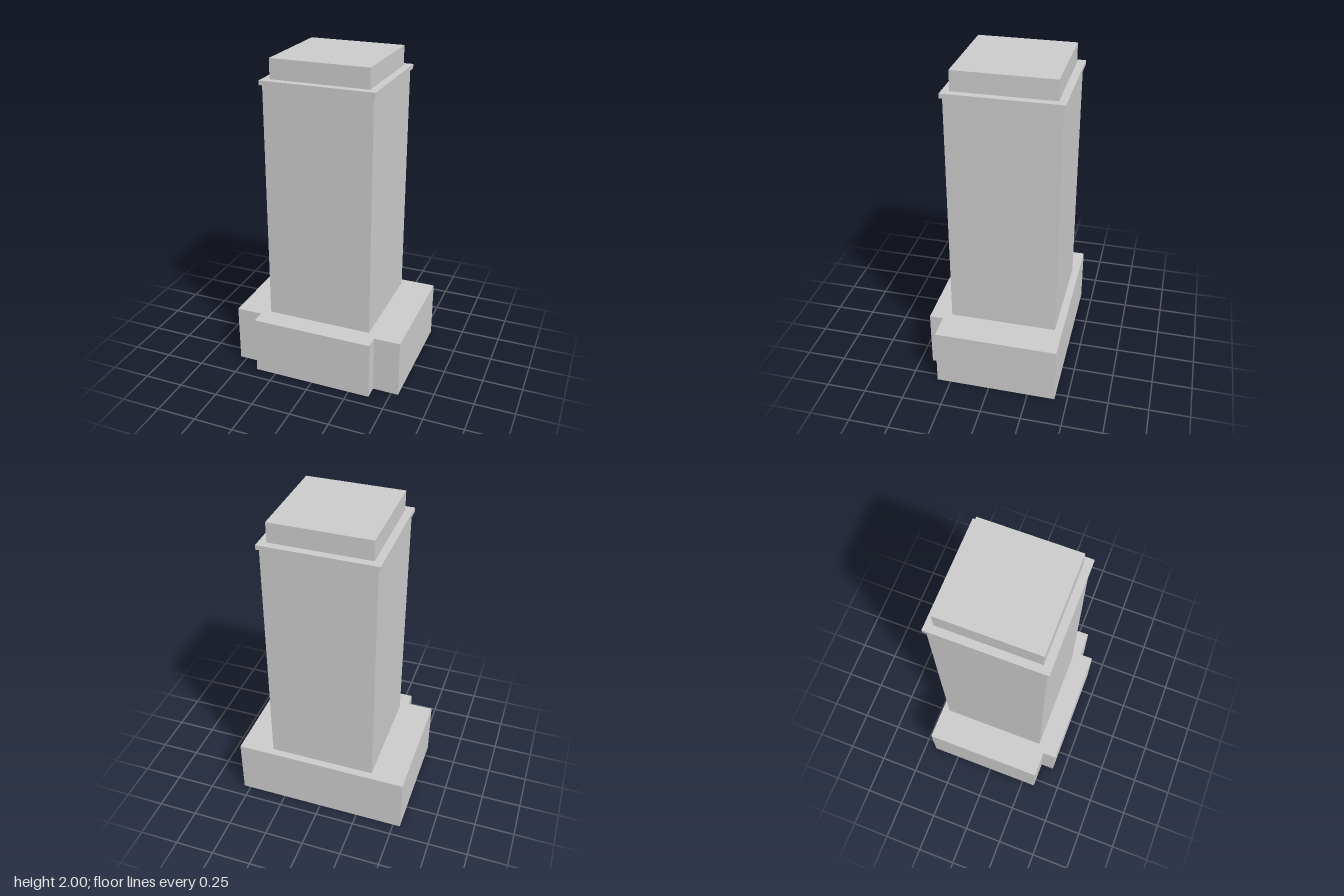
import * as THREE from 'three';

const TOWER_Z = -0.043;

export function createModel() {
  const model = new THREE.Group();
  const material = new THREE.MeshStandardMaterial({ color: 0xcccccc, flatShading: true });

  const add = (name, geometry) => {
    const mesh = new THREE.Mesh(geometry, material);
    mesh.name = name;
    model.add(mesh);
  };

  // Podium: T-shaped plan with a projecting front bay, extruded upwards
  const plan = [
    [-0.545, 0.422], [-0.545, -0.336], [-0.382, -0.336], [-0.382, -0.422],
    [0.382, -0.422], [0.382, -0.336], [0.545, -0.336], [0.545, 0.422],
  ].map(([x, y]) => new THREE.Vector2(x, y));
  const podium = new THREE.ExtrudeGeometry(new THREE.Shape(plan), { depth: 0.37, bevelEnabled: false });
  podium.rotateX(-Math.PI / 2);
  add('podium', podium);

  // Square tiers stacked on the podium: name, width, bottom, top
  const tiers = [
    ['towerShaft', 0.664, 0.37, 1.853],
    ['corniceSlab', 0.692, 1.853, 1.88],
    ['roofBlock', 0.6, 1.88, 2],
  ];
  for (const [name, width, bottom, top] of tiers) {
    const box = new THREE.BoxGeometry(width, top - bottom, width);
    box.translate(0, (bottom + top) / 2, TOWER_Z);
    add(name, box);
  }

  return model;
}
